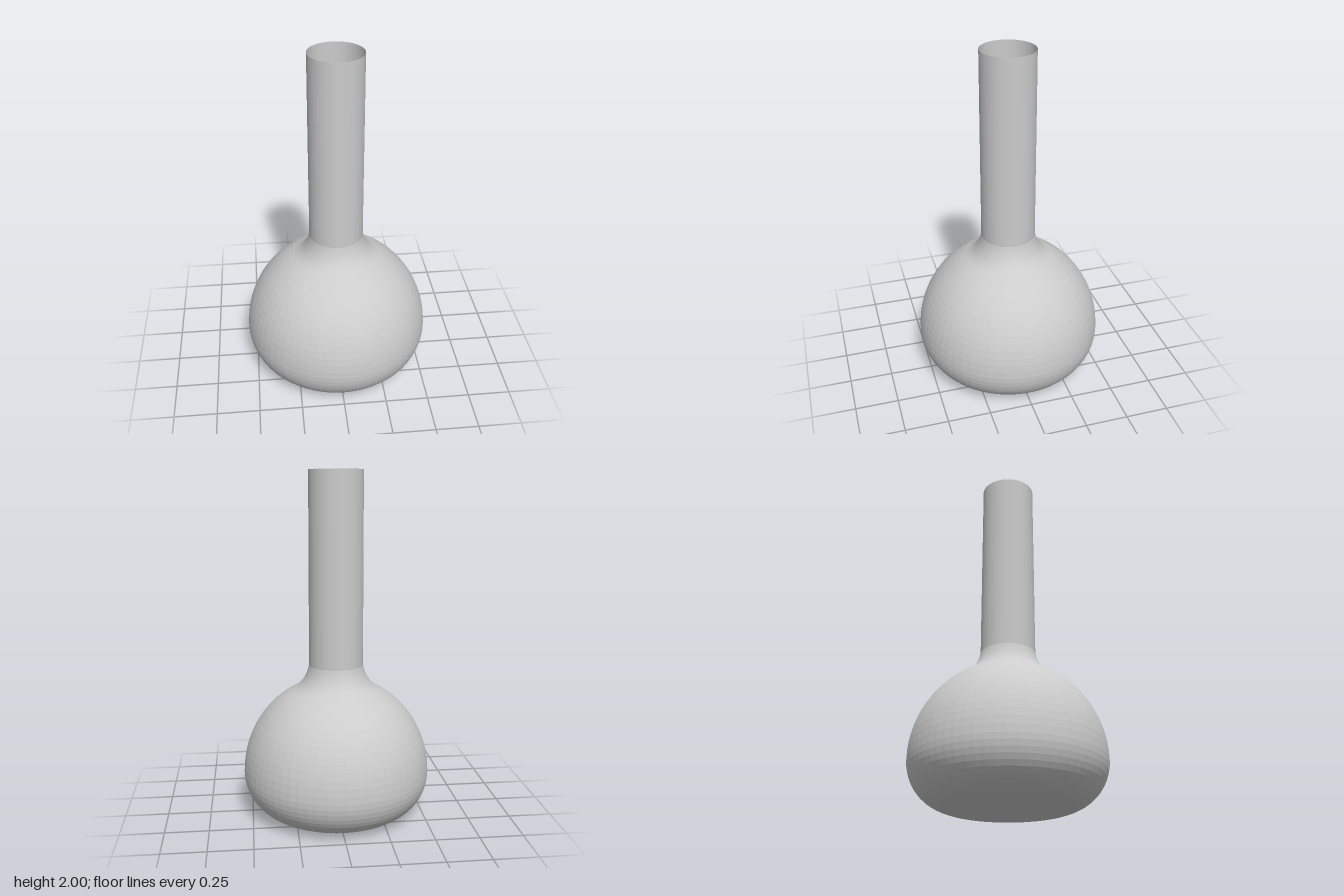
import * as THREE from 'three';

const SEGMENTS = 64;
const material = new THREE.MeshStandardMaterial({
  color: 0xcccccc, flatShading: true, side: THREE.DoubleSide,
});

function lathe(name, points) {
  const mesh = new THREE.Mesh(new THREE.LatheGeometry(points, SEGMENTS), material);
  mesh.name = name;
  return mesh;
}

// Points on an elliptical arc, angles in radians
function arc(cx, cy, rx, ry, from, to, steps) {
  return Array.from({ length: steps + 1 }, (_, i) => {
    const a = from + ((to - from) * i) / steps;
    return new THREE.Vector2(cx + rx * Math.cos(a), cy + ry * Math.sin(a));
  });
}

export function createModel() {
  const group = new THREE.Group();
  group.name = 'vase';

  // Flat base closing the bottom
  const base = new THREE.Mesh(new THREE.CircleGeometry(0.31, SEGMENTS), material);
  base.name = 'base';
  base.rotation.x = Math.PI / 2;
  group.add(base);

  // Rounded lower edge and domed body
  const lower = arc(0.31, 0.25, 0.235, 0.25, -Math.PI / 2, 0, 12);
  const upper = arc(0, 0.25, 0.545, 0.56, 0, Math.acos(0.245 / 0.545), 14);
  group.add(lathe('body', [...lower, ...upper.slice(1)]));

  // Concave shoulder between body and neck
  const start = upper[upper.length - 1];
  const shoulder = new THREE.QuadraticBezierCurve(
    start, new THREE.Vector2(0.178, 0.79), new THREE.Vector2(0.157, 0.89));
  group.add(lathe('shoulder', shoulder.getPoints(8)));

  // Tall open neck, very slightly tapered
  group.add(lathe('neck', [new THREE.Vector2(0.157, 0.89), new THREE.Vector2(0.154, 2)]));

  return group;
}
